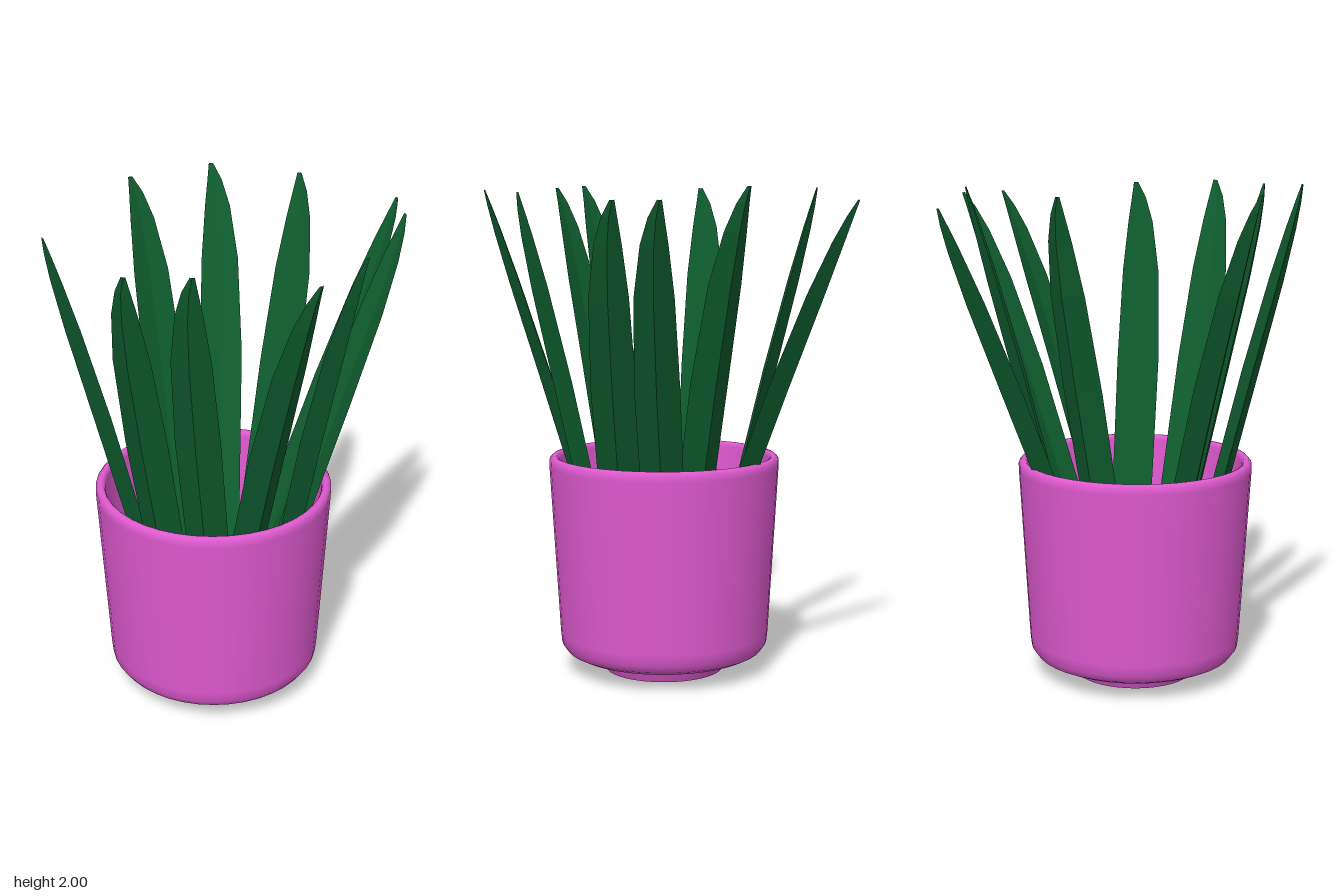
import * as THREE from 'three';

const potMaterial = new THREE.MeshStandardMaterial({ color: 0xe05ad0, side: THREE.DoubleSide });
const leafMaterial = new THREE.MeshStandardMaterial({ color: 0x0f5c2e, flatShading: true });

// base x, base z, tip x, tip y, tip z
const LEAVES = [
  [-0.05, -0.01, -0.08, 1.94, -0.74],
  [0.06, -0.03, 0.28, 1.99, -0.46],
  [0.01, 0.04, 0.66, 1.94, -0.30],
  [0.08, 0.19, 0.675, 1.94, -0.11],
  [0.15, 0.20, 0.49, 1.97, 0.44],
  [-0.02, 0.27, 0.31, 1.98, 0.73],
  [-0.05, 0.25, -0.13, 1.99, 0.68],
  [-0.19, 0.26, -0.365, 2.0, 0.70],
  [-0.25, 0.10, -0.68, 1.99, 0.29],
  [-0.18, -0.01, -0.40, 1.99, -0.41],
];

// position along the leaf, half width, sideways shift
const STATIONS = [
  [0, 0.075, 0], [0.3, 0.084, 0.015], [0.6, 0.088, 0.028], [0.8, 0.076, 0.03],
  [0.91, 0.052, 0.024], [0.965, 0.03, 0.014], [1, 0.009, 0],
];

// Channelled blade: four-point section swept from base to tip
function leafGeometry(base, tip) {
  const along = tip.clone().sub(base);
  const dir = along.clone().normalize();
  const side = new THREE.Vector3(0, 1, 0).cross(dir).normalize();
  const inner = dir.clone().cross(side);
  const positions = [];
  const index = [];
  for (const [t, half, shift] of STATIONS) {
    const centre = base.clone().addScaledVector(along, t)
      .addScaledVector(side, -shift)
      .addScaledVector(inner, 0.015 * Math.sin(Math.PI * t));
    const k = half / 0.088;
    const section = [[half, 0.015 * k], [0, -0.002 * k], [-half, 0.015 * k], [0, -0.032 * k]];
    for (const [s, n] of section) {
      positions.push(...centre.clone().addScaledVector(side, s).addScaledVector(inner, n).toArray());
    }
  }
  const last = (STATIONS.length - 1) * 4;
  for (let i = 0; i < last; i += 4) {
    for (let j = 0; j < 4; j++) {
      const a = i + j, b = i + (j + 1) % 4;
      index.push(a, b, b + 4, a, b + 4, a + 4);
    }
  }
  // end caps, split along the fold
  index.push(0, 3, 1, 1, 3, 2);
  index.push(last, last + 1, last + 3, last + 1, last + 2, last + 3);
  const geometry = new THREE.BufferGeometry();
  geometry.setAttribute('position', new THREE.Float32BufferAttribute(positions, 3));
  geometry.setIndex(index);
  geometry.computeVertexNormals();
  return geometry;
}

function lathe(name, profile) {
  const points = profile.map(([r, y]) => new THREE.Vector2(r, y));
  const mesh = new THREE.Mesh(new THREE.LatheGeometry(points, 40), potMaterial);
  mesh.name = name;
  return mesh;
}

export function createModel() {
  const model = new THREE.Group();
  model.name = 'pottedPlant';

  // Pot: outer wall, rounded rim, inside wall and floor
  const pot = new THREE.Group();
  pot.name = 'pot';
  pot.position.set(-0.067, 0, 0.115);
  pot.add(
    lathe('potFootBase', [[0, 0], [0.245, 0]]),
    lathe('potFoot', [[0.245, 0], [0.265, 0.045]]),
    lathe('potWall', [
      [0.265, 0.045], [0.37, 0.068], [0.405, 0.085], [0.427, 0.115], [0.432, 0.16],
      [0.473, 0.86], [0.473, 0.885], [0.462, 0.898], [0.45, 0.9], [0.44, 0.895], [0.434, 0.88],
      [0.398, 0.21], [0.385, 0.15], [0.35, 0.12], [0.3, 0.11], [0, 0.11],
    ]),
  );
  model.add(pot);

  // Leaves fanning out from the pot floor
  const leaves = new THREE.Group();
  leaves.name = 'leaves';
  for (const [bx, bz, tx, ty, tz] of LEAVES) {
    const base = new THREE.Vector3(bx, 0.11, bz);
    const leaf = new THREE.Mesh(leafGeometry(base, new THREE.Vector3(tx, ty, tz)), leafMaterial);
    leaf.name = 'leaf';
    leaves.add(leaf);
  }
  model.add(leaves);
  return model;
}
